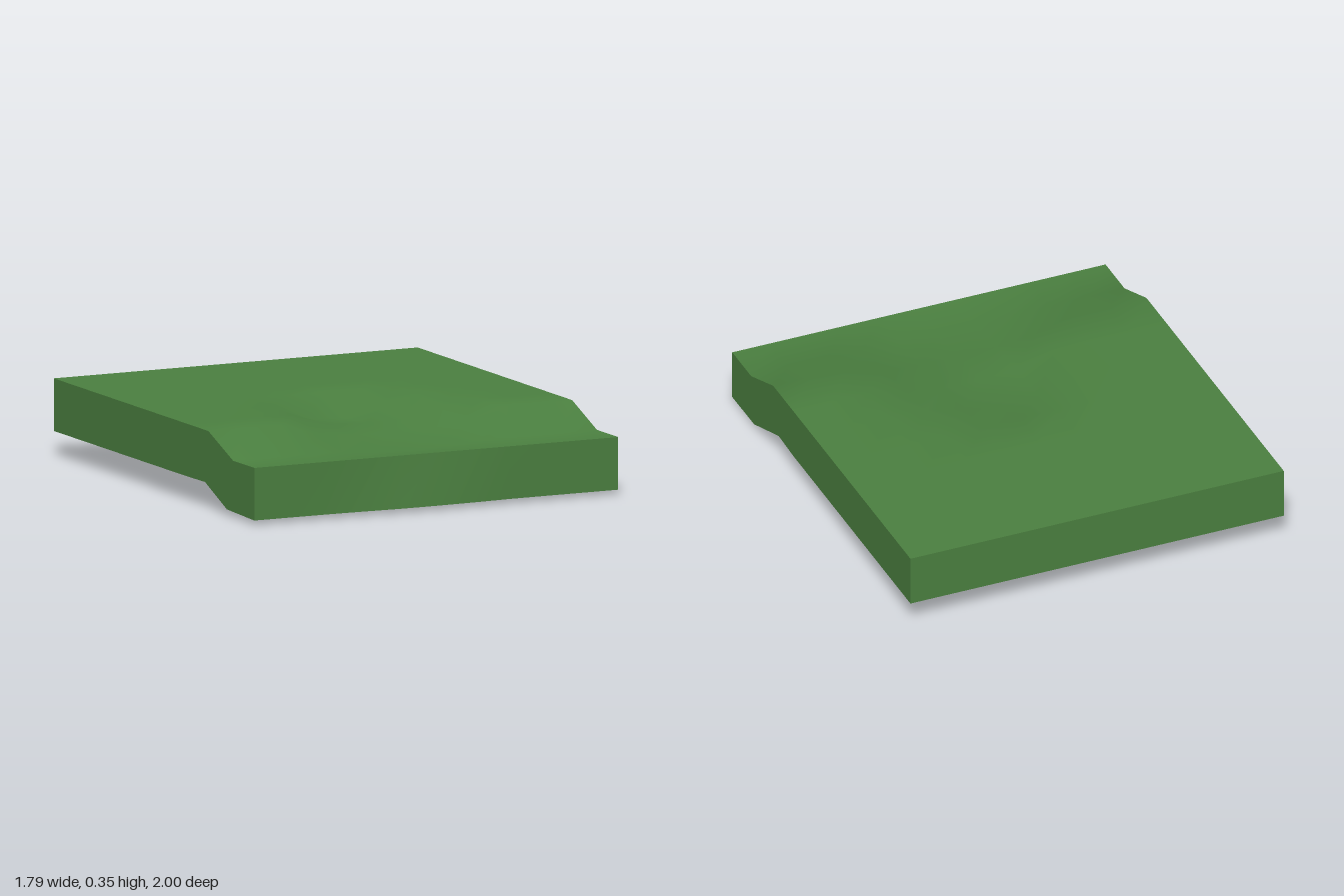
import * as THREE from 'three';

const THICKNESS = 0.235;
const HALF_WIDTH = 0.895;
const COLS = 11;

// Row positions from back to front, and the surface height at the rim of each row
const rows = [
  { z: -1, y: 0.35 }, { z: -0.78, y: 0.35 }, { z: -0.57, y: 0.35 }, { z: -0.36, y: 0.35 },
  { z: -0.15, y: 0.35 },
  // hollow heights for the seven middle columns
  { z: 0.075, y: 0.35, dip: [0.35, 0.35, 0.28, 0.27, 0.31, 0.35, 0.35] },
  { z: 0.3, y: 0.35, dip: [0.35, 0.345, 0.29, 0.283, 0.285, 0.32, 0.35] },
  { z: 0.523, y: 0.35, dip: [0.35, 0.295, 0.278, 0.272, 0.278, 0.29, 0.35] },
  { z: 0.767, y: 0.255, dip: [0.255, 0.253, 0.238, 0.235, 0.238, 0.253, 0.255] },
  { z: 0.977, y: 0.255 },
];

// Surface from a list of rows of points
function sheet(grid, flip = false) {
  const w = grid[0].length;
  const index = [];
  for (let r = 0; r < grid.length - 1; r++) {
    for (let c = 0; c < w - 1; c++) {
      const a = r * w + c, b = a + 1, d = a + w, e = d + 1;
      index.push(...(flip ? [a, b, d, b, e, d] : [a, d, b, b, d, e]));
    }
  }
  const g = new THREE.BufferGeometry().setFromPoints(grid.flat());
  g.setIndex(index);
  g.computeVertexNormals();
  return g;
}

export function createModel() {
  const group = new THREE.Group();
  group.name = 'terrainTile';
  const material = new THREE.MeshStandardMaterial({ color: 0x4b8040 });
  const add = (name, geometry) => {
    const mesh = new THREE.Mesh(geometry, material);
    mesh.name = name;
    group.add(mesh);
  };

  // Grassy top with a sloped step and a hollow
  const top = rows.map(({ z, y, dip }) => Array.from({ length: COLS }, (_, c) => {
    const x = -HALF_WIDTH + (2 * HALF_WIDTH * c) / (COLS - 1);
    return new THREE.Vector3(x, dip?.[c - 2] ?? y, z);
  }));
  const topGeometry = sheet(top);
  add('topSurface', topGeometry);

  // Underside: the top pushed inward along its normals
  const normals = topGeometry.attributes.normal;
  const bottom = top.map((row, r) => row.map((p, c) => {
    const n = new THREE.Vector3().fromBufferAttribute(normals, r * COLS + c);
    if (c === 0 || c === COLS - 1) n.x = 0;
    return p.clone().addScaledVector(n.normalize(), -THICKNESS);
  }));
  add('underside', sheet(bottom, true));

  // Four walls joining the two borders
  const last = rows.length - 1;
  const column = (grid, c) => grid.map((row) => row[c]);
  add('frontWall', sheet([top[last], bottom[last]]));
  add('backWall', sheet([top[0], bottom[0]], true));
  add('rightWall', sheet([column(top, 0), column(bottom, 0)]));
  add('leftWall', sheet([column(top, COLS - 1), column(bottom, COLS - 1)], true));

  // Rest the lowest point on the ground
  group.position.y = -new THREE.Box3().setFromObject(group).min.y;
  return group;
}
